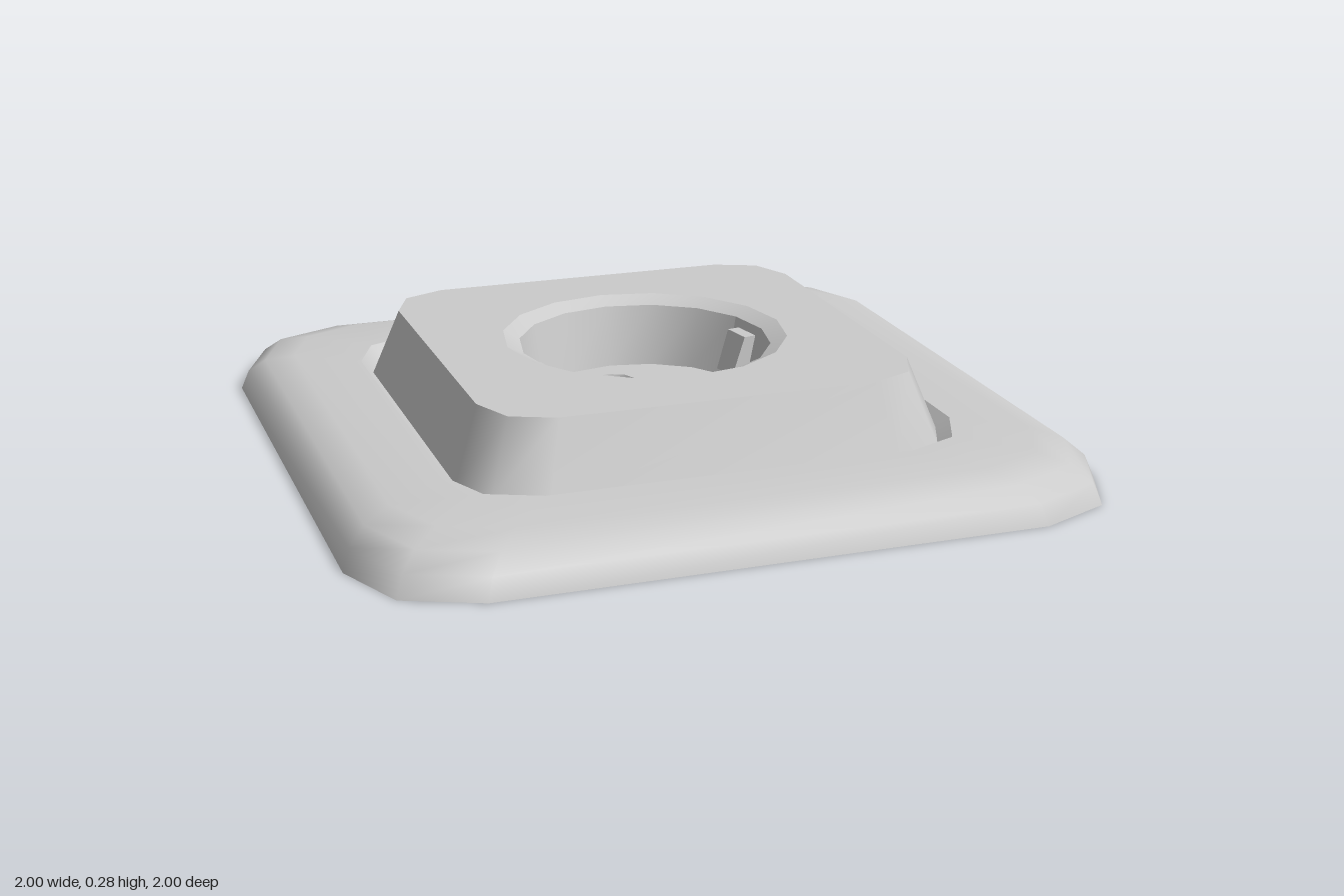
import * as THREE from 'three';

const material = new THREE.MeshStandardMaterial({ color: 0xcccccc, side: THREE.DoubleSide });
const V = (x, y, z) => new THREE.Vector3(x, y, z);

// Square ring with two-step rounded corners: half width, half straight length, height
function squareRing(half, flat, y) {
  const mid = flat + (half - flat) * 0.7;
  const quarter = [[half, -flat], [half, flat], [mid, mid]];
  const points = [];
  for (let q = 0; q < 4; q++) {
    const c = Math.round(Math.cos(q * Math.PI / 2)), s = Math.round(Math.sin(q * Math.PI / 2));
    for (const [a, b] of quarter) points.push(V(a * c - b * s, y, -(a * s + b * c)));
  }
  return points;
}

// Regular ring
function roundRing(r, y, sides) {
  return Array.from({ length: sides }, (_, i) => {
    const a = i / sides * Math.PI * 2;
    return V(r * Math.cos(a), y, -r * Math.sin(a));
  });
}

// Smooth skin through closed rings; facets listed in skip stay open
function loft(rings, skip = []) {
  const n = rings[0].length, index = [];
  for (let k = 0; k + 1 < rings.length; k++) {
    for (let i = 0; i < n; i++) {
      if (skip.includes(i)) continue;
      const j = (i + 1) % n, a = k * n, b = a + n;
      index.push(a + i, a + j, b + j, a + i, b + j, b + i);
    }
  }
  const g = new THREE.BufferGeometry().setFromPoints(rings.flat());
  g.setIndex(index);
  g.computeVertexNormals();
  return g;
}

// Flat face filling a ring, with an optional hole ring
function cap(ring, hole) {
  const flat = r => r.map(p => new THREE.Vector2(p.x, -p.z));
  const shape = new THREE.Shape(flat(ring));
  if (hole) shape.holes.push(new THREE.Path(flat(hole)));
  return new THREE.ShapeGeometry(shape).rotateX(-Math.PI / 2).translate(0, ring[0].y, 0);
}

export function createModel() {
  const model = new THREE.Group();
  const add = (name, geometry, parent = model) => {
    const mesh = new THREE.Mesh(geometry, material);
    mesh.name = name;
    parent.add(mesh);
    return mesh;
  };

  // Outer frame with rounded rim, and the lip leading down to the insert
  const lip = squareRing(0.69, 0.49, 0.12), seam = squareRing(0.66, 0.47, 0.09);
  add('frame', loft([
    squareRing(1, 0.72, 0), squareRing(0.98, 0.705, 0.055), squareRing(0.935, 0.67, 0.095),
    squareRing(0.86, 0.615, 0.117), lip,
  ]));
  add('frameLip', loft([lip, seam]));

  // Raised insert
  const SIDES = 16;
  const top = squareRing(0.59, 0.425, 0.28), mouth = roundRing(0.39, 0.28, SIDES);
  add('insertSides', loft([seam, top]));
  add('insertTop', cap(top, mouth));

  // Round socket well, with openings in two opposite facets for the clips
  const rim = roundRing(0.345, 0.258, SIDES), base = roundRing(0.31, 0.09, SIDES);
  add('wellBevel', loft([mouth, rim]));
  add('wellWall', loft([rim, base], [0, SIDES / 2]));

  const u0 = 0.17, u1 = 0.83, v0 = 0.2, v1 = 0.85;
  const onFacet = (u, v) => base[0].clone().lerp(base[1], u)
    .lerp(rim[0].clone().lerp(rim[1], u), v);
  const panelShape = new THREE.Shape([[0, 0], [1, 0], [1, 1], [0, 1]].map(p => new THREE.Vector2(...p)));
  const back = [[u0, v0], [u0, v1], [u1, v1], [u1, v0]];
  panelShape.holes.push(new THREE.Path(back.map(p => new THREE.Vector2(...p))));
  const panel = new THREE.ShapeGeometry(panelShape);
  const pos = panel.attributes.position;
  for (let i = 0; i < pos.count; i++) {
    const p = onFacet(1 - pos.getX(i), pos.getY(i)); // mirrored so the panel faces inward
    pos.setXYZ(i, p.x, p.y, p.z);
    const n = V(-p.x, 0.2 * Math.hypot(p.x, p.z), -p.z).normalize();
    panel.attributes.normal.setXYZ(i, n.x, n.y, n.z);
  }

  // Clip: hollow block standing in from the wall, its face leaning inward at the foot
  const inward = V(-Math.cos(Math.PI / SIDES), 0, Math.sin(Math.PI / SIDES));
  const outer = back.map(([u, v]) => onFacet(u, v));
  const inner = outer.map((p, i) => p.clone().addScaledVector(inward, i === 1 || i === 2 ? 0.035 : 0.05));
  const clipPoints = [];
  const quad = (a, b, c, d) => clipPoints.push(a, b, c, a, c, d);
  for (let i = 0; i < 4; i++) {
    const j = (i + 1) % 4;
    quad(outer[i], outer[j], inner[j], inner[i]);
  }
  quad(...inner);
  const clip = new THREE.BufferGeometry().setFromPoints(clipPoints);
  clip.computeVertexNormals();
  for (const [side, turn] of [['left', 0], ['right', Math.PI]]) {
    const group = new THREE.Group();
    group.name = side + 'Clip';
    group.rotation.y = turn;
    add('clipPanel', panel, group);
    add('clipBlock', clip, group);
    model.add(group);
  }

  // Floor with two tapered, closed contact holes
  const holes = [[-0.032, -0.173], [0.032, 0.167]];
  const place = (ring, [x, z]) => ring.map(p => p.clone().add(V(x, 0, z)));
  const floorShape = new THREE.Shape(base.map(p => new THREE.Vector2(p.x, -p.z)));
  holes.forEach((at, i) => {
    const edge = place(roundRing(0.065, 0.09, 8), at);
    const foot = place(roundRing(0.05, 0.02, 8), at);
    floorShape.holes.push(new THREE.Path(edge.map(p => new THREE.Vector2(p.x, -p.z))));
    add('contactHoleWall' + (i + 1), loft([edge, foot]));
    add('contactHoleEnd' + (i + 1), cap(foot));
  });
  add('wellFloor', new THREE.ShapeGeometry(floorShape).rotateX(-Math.PI / 2).translate(0, 0.09, 0));

  return model;
}
